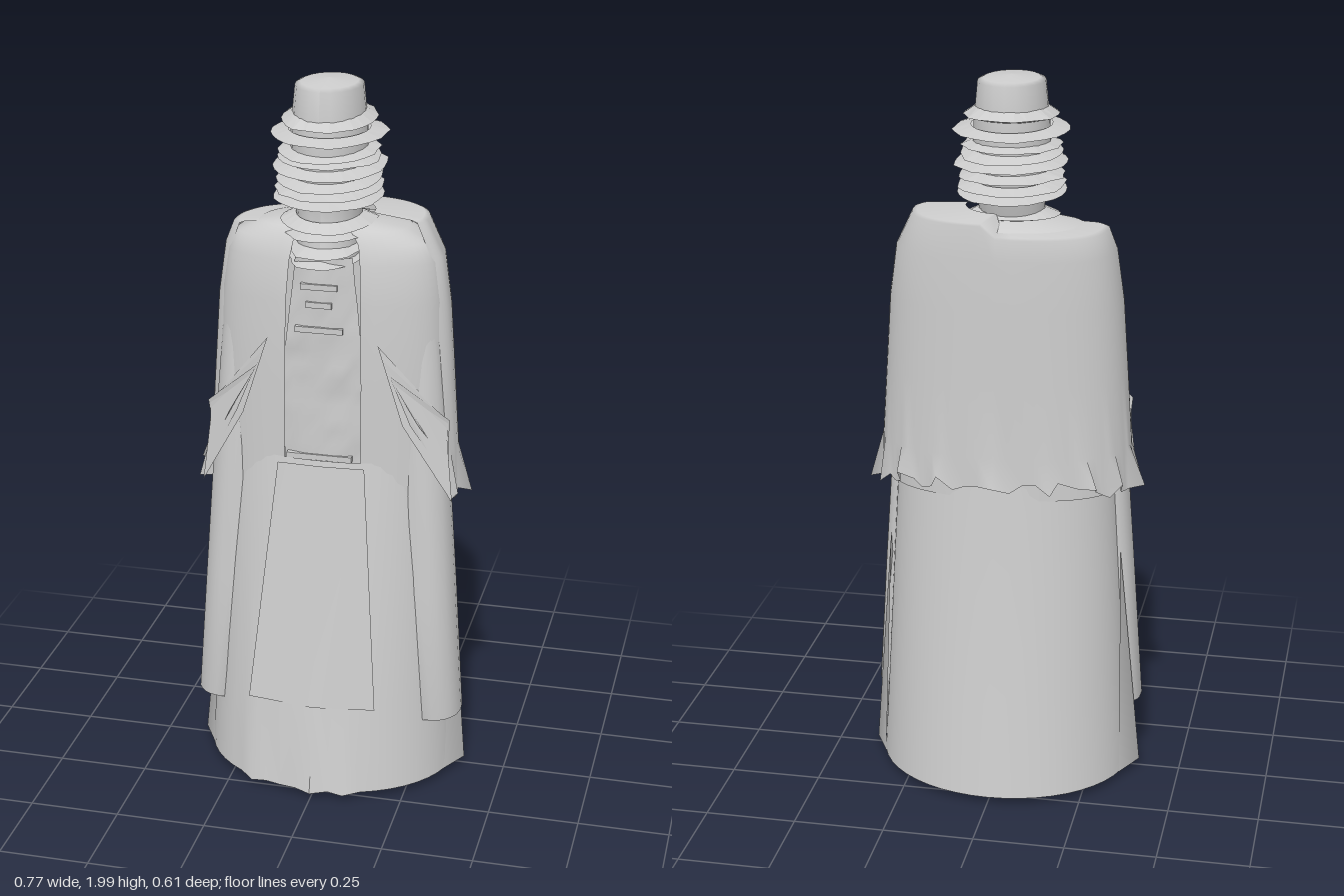
import * as THREE from 'three';

const cloth = new THREE.MeshStandardMaterial({ color: 0xcccccc, side: THREE.DoubleSide });
cloth.name = 'pale grey';

// seeded noise for ragged edges
let seed = 7;
const rand = () => ((seed = (seed * 16807) % 2147483647) / 2147483647);

// Skin through horizontal sections [y, halfWidth, frontDepth, backDepth, squareness, zOffset].
// Angles run from the front (0) towards +x; adjust(point, row, index, angle) can move a vertex.
function loft(rows, { from = 0, to = Math.PI * 2, segs = 40, adjust } = {}) {
  const pos = [], index = [];
  const p = new THREE.Vector3();
  rows.forEach(([y, rx, zf, zb, sq = 2, oz = 0], r) => {
    for (let i = 0; i <= segs; i++) {
      const a = from + ((to - from) * i) / segs;
      const s = Math.sin(a), c = Math.cos(a);
      p.set(
        rx * Math.sign(s) * Math.abs(s) ** (2 / sq),
        y,
        oz + (c > 0 ? zf : zb) * Math.sign(c) * Math.abs(c) ** (2 / sq)
      );
      if (adjust) adjust(p, r, i % segs, a);
      pos.push(p.x, p.y, p.z);
    }
  });
  const n = segs + 1;
  for (let r = 0; r < rows.length - 1; r++) {
    for (let i = 0; i < segs; i++) {
      const a = r * n + i, b = a + n;
      index.push(a, a + 1, b, a + 1, b + 1, b);
    }
  }
  return surface(pos, index);
}

function surface(pos, index) {
  const g = new THREE.BufferGeometry();
  g.setAttribute('position', new THREE.Float32BufferAttribute(pos, 3));
  g.setIndex(index);
  g.computeVertexNormals();
  return g;
}

export function createModel() {
  const model = new THREE.Group();
  model.name = 'robedFigure';
  const add = (name, geometry) => {
    const m = new THREE.Mesh(geometry, cloth);
    m.name = name;
    model.add(m);
    return m;
  };
  const facet = (g) => {
    const f = g.toNonIndexed();
    f.computeVertexNormals();
    return f;
  };

  // flared skirt, open at the hem, with a few sharp pleats at the front
  const pleats = [0, 2, 44];
  add('skirt', loft([
    [0.03, 0.355, 0.285, 0.305],
    [0.3, 0.34, 0.25, 0.268],
    [0.65, 0.32, 0.2, 0.222, 2.1],
    [0.98, 0.3, 0.148, 0.19, 2.2],
  ], { segs: 48, adjust(p, r, i) {
    if (r === 0 && pleats.includes(i)) p.z += 0.02;
  } }));

  // coat body, open in a strip down the chest
  const opening = 0.27;
  add('coatBody', loft([
    [0.88, 0.32, 0.145, 0.195, 2.4],
    [1.2, 0.315, 0.14, 0.187, 2.4],
    [1.42, 0.305, 0.135, 0.182, 2.4],
    [1.53, 0.288, 0.118, 0.176, 2.4],
    [1.58, 0.265, 0.1, 0.168, 2.4],
    [1.61, 0.2, 0.08, 0.14, 2.3],
    [1.63, 0.08, 0.06, 0.07],
  ], { from: opening, to: Math.PI * 2 - opening, segs: 48 }));

  // cape over the shoulders and back, higher on the left, with spiked hem
  add('cape', loft([
    [0.89, 0.35, 0.12, 0.208, 2.3],
    [1.0, 0.345, 0.115, 0.204, 2.3],
    [1.2, 0.332, 0.11, 0.197, 2.3],
    [1.4, 0.318, 0.1, 0.19, 2.4],
    [1.54, 0.298, 0.075, 0.186, 2.5],
    [1.605, 0.275, 0.065, 0.178, 2.6],
    [1.61, 0.26, 0.06, 0.172, 2.6],
    [1.62, 0.12, 0.03, 0.1],
  ], {
    from: 1.1, to: Math.PI * 2 - 1.1, segs: 44,
    adjust(p, r, i, a) {
      if (r >= 5) {
        if (p.x > 0) p.x *= 0.92;
        p.y += p.x > 0 ? 0.028 : -0.006;
      }
      if (r > 0) return;
      p.y += 0.06 * Math.max(0, -Math.cos(a)) - 0.05 * rand();
      const spike = i % 4 === 2 ? 1.04 + 0.08 * rand() : 1;
      p.x *= spike;
      p.z *= spike;
    },
  }));

  for (const side of [1, -1]) {
    const label = side > 0 ? 'left' : 'right';

    // long hanging coat panel at the flank, set into the shoulder
    const panel = add(label + 'CoatPanel', loft([
      [0.225, 0.05, 0.04, 0.04, 3],
      [0.215, 0.074, 0.085, 0.08, 3],
      [0.6, 0.066, 0.082, 0.08, 3],
      [1.0, 0.056, 0.07, 0.075, 2.6],
      [1.3, 0.045, 0.055, 0.07, 2.4],
      [1.54, 0.02, 0.03, 0.04],
    ], { segs: 24, adjust(p) {
      p.x += 0.308 - 0.048 * (p.y - 0.21) - 0.35 * Math.max(0, p.z - 0.02);
      p.z += 0.062 - 0.022 * p.y;
    } }));
    panel.scale.x = side;

    // pointed sleeve folds crossing the flank
    for (let k = 0; k < 3; k++) {
      add(label + 'SleeveFold', surface([
        side * (0.15 + k * 0.015), 1.32 - k * 0.04, 0.138,
        side * (0.22 + k * 0.02), 1.1, 0.142 - k * 0.006,
        side * (0.35 - k * 0.012), 0.87 + k * 0.05, 0.095 - k * 0.02,
        side * (0.325 + k * 0.006), 1.1, 0.075,
      ], [0, 1, 2, 0, 2, 3]));
    }

    // stray pointed cloth at the side hem
    add(label + 'HemFlare', surface([
      side * 0.325, 0.7, -0.04, side * 0.385, 0.03, 0,
      side * 0.34, 0.03, -0.09, side * 0.33, 0.03, 0.1,
    ], [0, 1, 2, 0, 3, 1]));

    // flat shoe and crumpled trouser cuff under the skirt
    const shoe = add(label + 'Shoe', loft([
      [0.01, 0.04, 0.08, 0.1],
      [0.015, 0.065, 0.1, 0.12],
      [0.05, 0.068, 0.1, 0.12],
      [0.1, 0.06, 0.06, 0.1],
      [0.22, 0.07, 0.07, 0.1],
    ], { segs: 14, adjust(p, r) { if (r > 1) p.x += 0.012 * (rand() - 0.5); } }));
    shoe.position.x = side * 0.145;
  }

  // apron panel hanging down the front of the skirt
  add('apron', surface([
    -0.19, 0.28, 0.233, 0, 0.28, 0.26, 0.17, 0.28, 0.235,
    -0.12, 0.97, 0.158, 0, 0.97, 0.164, 0.12, 0.97, 0.158,
  ], [0, 1, 4, 0, 4, 3, 1, 2, 5, 1, 5, 4]));

  // wrinkled shirt front set back in the coat opening
  const shirt = new THREE.PlaneGeometry(0.22, 0.6, 8, 16);
  const sp = shirt.attributes.position;
  for (let i = 0; i < sp.count; i++) {
    const x = sp.getX(i), y = sp.getY(i);
    sp.setX(i, x * (1 - 0.3 * Math.max(0, y / 0.3)));
    sp.setZ(i, 0.134 - x * x - 0.03 * Math.max(0, y - 0.15) + 0.008 * (rand() - 0.5));
  }
  shirt.computeVertexNormals();
  add('shirtFront', shirt).position.y = 1.25;
  for (const [y, w] of [[0.985, 0.18], [1.35, 0.13], [1.42, 0.07], [1.47, 0.1]]) {
    const crease = add('shirtCrease', new THREE.BoxGeometry(w, 0.016, 0.02));
    crease.position.set(-0.01, y, 0.13);
  }

  // neck and head column with a domed crown
  add('neck', loft([
    [1.52, 0.085, 0.11, 0.06, 2, 0.02],
    [1.62, 0.085, 0.1, 0.08],
    [1.7, 0.095, 0.11, 0.1],
  ], { segs: 20 })).position.x = -0.012;
  add('head', loft([
    [1.68, 0.095, 0.115, 0.1],
    [1.78, 0.105, 0.13, 0.115],
    [1.88, 0.1, 0.125, 0.115],
    [1.985, 0.09, 0.112, 0.108],
    [1.992, 0.075, 0.095, 0.09],
    [2.0, 0, 0, 0],
  ], { segs: 20 })).position.x = -0.012;

  // stacked ragged discs: [y, half width, front, back, tilt, thickness]
  const discs = [
    [1.897, 0.132, 0.155, 0.15, 0.04, 0.025], [1.858, 0.158, 0.192, 0.18, -0.01, 0.012],
    [1.815, 0.135, 0.165, 0.155, 0.03, 0.014], [1.795, 0.142, 0.178, 0.165, -0.02, 0.014],
    [1.77, 0.155, 0.185, 0.178, 0.01, 0.014], [1.737, 0.145, 0.178, 0.17, 0.02, 0.014],
    [1.712, 0.148, 0.18, 0.17, -0.01, 0.012], [1.69, 0.152, 0.185, 0.178, 0, 0.012],
    [1.625, 0.13, 0.155, 0.1, 0.05, 0.018], [1.595, 0.118, 0.168, 0.08, -0.03, 0.016],
    [1.56, 0.108, 0.172, 0.06, 0.04, 0.014], [1.53, 0.105, 0.178, 0.05, 0.01, 0.012],
  ];
  for (const [y, rx, zf, zb, tilt, thick] of discs) {
    const jag = Array.from({ length: 24 }, () => 0.95 + 0.09 * rand() ** 3);
    const g = loft([
      [-thick * 0.5, rx * 0.65, zf * 0.65, zb * 0.65],
      [0, rx, zf, zb],
      [thick, rx * 0.68, zf * 0.68, zb * 0.68],
    ], { segs: 24, adjust(p, r, i) { if (r === 1) { p.x *= jag[i]; p.z *= jag[i]; } } });
    const disc = add('headDisc', facet(g));
    disc.position.set(-0.012, y, 0);
    disc.rotation.x = tilt;
  }

  return model;
}
